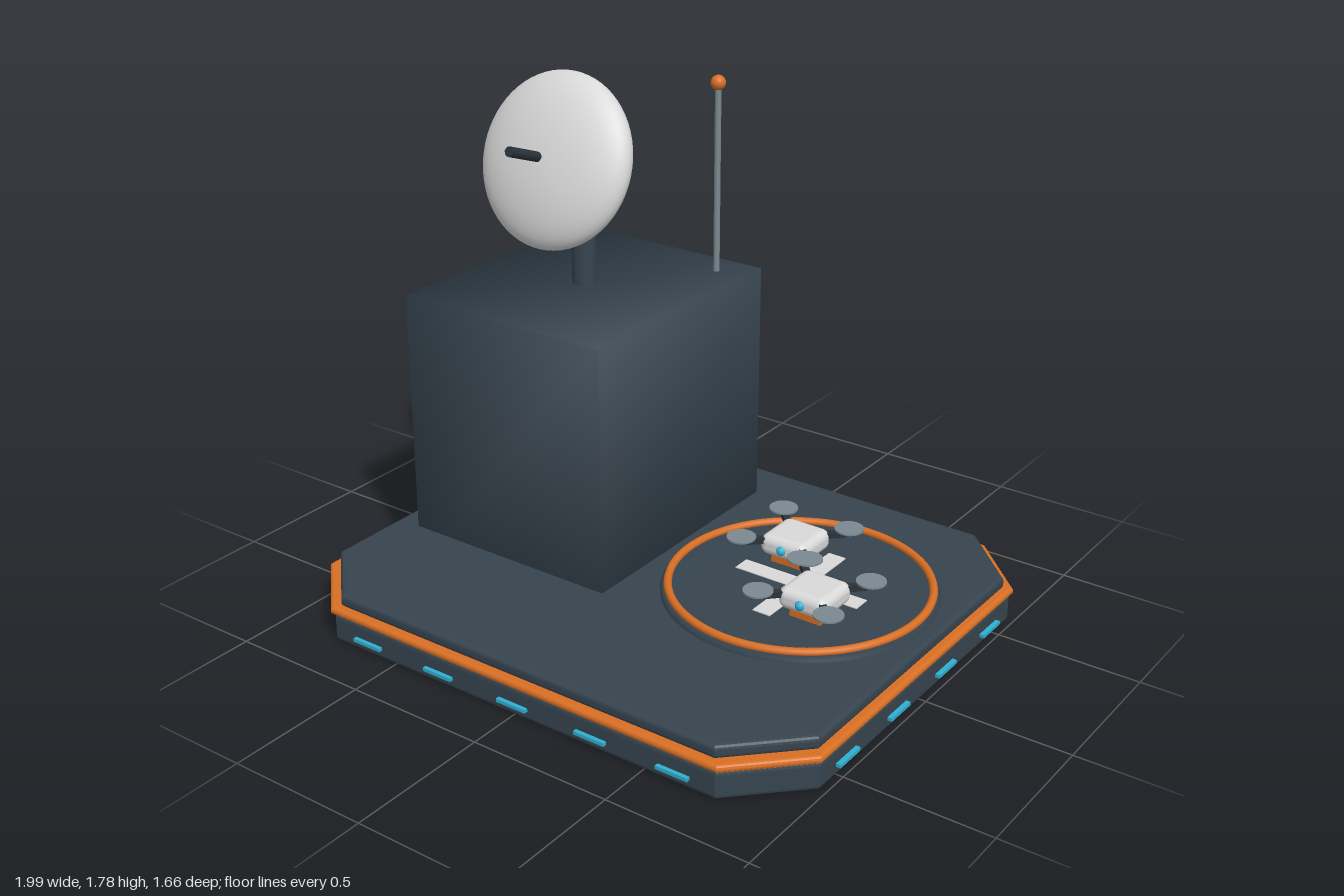
import * as THREE from 'three';
import { mergeVertices } from 'three/addons/utils/BufferGeometryUtils.js';
import { RoundedBoxGeometry } from 'three/addons/geometries/RoundedBoxGeometry.js';

const paint = (name, color) => {
  const m = new THREE.MeshStandardMaterial({ color });
  m.name = name;
  return m;
};

export function createModel() {
  const hull = paint('slate hull', 0x36444f);
  const charcoal = paint('charcoal', 0x2a333a);
  const orange = paint('orange trim', 0xd86f24);
  const white = paint('off white', 0xd9d9d9);
  const grey = paint('steel grey', 0x7c8991);
  const cyan = paint('cyan light', 0x2fb0d2);

  const model = new THREE.Group();
  model.name = 'droneStation';

  const add = (parent, name, geometry, material, x = 0, y = 0, z = 0) => {
    const mesh = new THREE.Mesh(geometry, material);
    mesh.name = name;
    mesh.position.set(x, y, z);
    parent.add(mesh);
    return mesh;
  };

  // Octagonal slab with a softened rim, from y0 to y1
  const octagonSlab = (hx, hz, cut, y0, y1, bevel) => {
    const x = hx - bevel, z = hz - bevel, c = cut - bevel * 0.6;
    const shape = new THREE.Shape([
      [x - c, -z], [x, -z + c], [x, z - c], [x - c, z],
      [-x + c, z], [-x, z - c], [-x, -z + c], [-x + c, -z],
    ].map(([a, b]) => new THREE.Vector2(a, b)));
    const geometry = new THREE.ExtrudeGeometry(shape, {
      depth: y1 - y0 - 2 * bevel, bevelEnabled: true,
      bevelSize: bevel, bevelThickness: bevel, bevelSegments: 3,
    });
    return geometry.rotateX(-Math.PI / 2).translate(0, y0 + bevel, 0);
  };

  // Platform
  add(model, 'basePlatform', octagonSlab(0.98, 0.818, 0.22, 0, 0.1, 0.015), hull);
  add(model, 'platformTrim', octagonSlab(0.99, 0.828, 0.22, 0.099, 0.126, 0.012), orange);
  add(model, 'upperDeck', octagonSlab(0.964, 0.802, 0.22, 0.124, 0.17, 0.015), hull);

  // Edge lights along all four sides
  const lights = new THREE.Group();
  lights.name = 'edgeLights';
  model.add(lights);
  for (const side of [-1, 1]) {
    for (let i = -2; i <= 2; i++) {
      add(lights, 'edgeLight', new THREE.BoxGeometry(0.115, 0.012, 0.018), cyan, i * 0.306, 0.04, side * 0.823);
    }
    for (let i = -1.5; i <= 1.5; i++) {
      add(lights, 'edgeLight', new THREE.BoxGeometry(0.018, 0.012, 0.115), cyan, side * 0.987, 0.04, i * 0.302);
    }
  }

  // Equipment building: a box with shared corners, so its shading is smooth
  let block = new THREE.BoxGeometry(0.815, 1.035, 0.92);
  block.deleteAttribute('normal');
  block.deleteAttribute('uv');
  block = mergeVertices(block);
  block.computeVertexNormals();
  add(model, 'building', block, hull, -0.4625, 0.5175, -0.168);

  // Dish on its mast
  add(model, 'dishMast', new THREE.CylinderGeometry(0.042, 0.042, 0.32, 24), hull, -0.465, 1.18, -0.16);
  const cap = [[0, -0.048], [0.066, -0.048], [0.075, -0.038], [0.075, 0.038], [0.066, 0.048], [0, 0.048]];
  add(model, 'mastHead', new THREE.LatheGeometry(cap.map(([r, y]) => new THREE.Vector2(r, y)), 24),
    grey, -0.465, 1.366, -0.16);
  const dish = new THREE.Group();
  dish.name = 'dishAssembly';
  dish.position.set(-0.465, 1.5, -0.024);
  dish.rotation.x = -0.35;
  model.add(dish);
  add(dish, 'dish', new THREE.SphereGeometry(0.295, 48, 32), white).scale.z = 0.35;
  add(dish, 'dishFeed', new THREE.CylinderGeometry(0.017, 0.017, 0.19, 12).rotateX(Math.PI / 2), charcoal, 0, 0, 0.155);

  // Whip antenna
  add(model, 'antennaRod', new THREE.CylinderGeometry(0.011, 0.011, 0.67, 12), grey, -0.167, 1.365, -0.517);
  add(model, 'antennaTip', new THREE.SphereGeometry(0.026, 20, 14), orange, -0.167, 1.7, -0.517);

  // Landing pad with ring and cross marking
  const pad = new THREE.Group();
  pad.name = 'landingPad';
  pad.position.set(0.457, 0, -0.113);
  model.add(pad);
  const disc = [[0.462, 0.165], [0.462, 0.178], [0.452, 0.19], [0, 0.19]];
  add(pad, 'padDisc', new THREE.LatheGeometry(disc.map(([r, y]) => new THREE.Vector2(r, y)), 64), hull);
  add(pad, 'padRing', new THREE.TorusGeometry(0.437, 0.014, 10, 72).rotateX(Math.PI / 2), orange, 0, 0.196, 0);
  add(pad, 'padCrossBar', new THREE.BoxGeometry(0.47, 0.004, 0.066), white, 0, 0.191, 0);
  add(pad, 'padCrossBar', new THREE.BoxGeometry(0.066, 0.0044, 0.47), white, 0, 0.191, 0);

  // Two parked quadcopters
  for (const [x, z] of [[0.35, -0.248], [0.594, 0.021]]) {
    const drone = new THREE.Group();
    drone.name = 'drone';
    drone.position.set(x, 0, z);
    model.add(drone);
    add(drone, 'droneBody', new RoundedBoxGeometry(0.18, 0.075, 0.18, 4, 0.03), white, 0, 0.258, 0);
    add(drone, 'droneFoot', new THREE.BoxGeometry(0.115, 0.035, 0.115), orange, 0, 0.2075, 0);
    add(drone, 'droneEye', new THREE.SphereGeometry(0.017, 16, 12), cyan, 0, 0.258, 0.087);
    for (const turn of [1, -1]) {
      add(drone, 'droneArm', new THREE.BoxGeometry(0.34, 0.02, 0.024), charcoal, 0, 0.273, 0)
        .rotation.y = turn * Math.PI / 4;
    }
    for (const sx of [-1, 1]) {
      for (const sz of [-1, 1]) {
        add(drone, 'rotor', new THREE.CylinderGeometry(0.05, 0.05, 0.006, 20), grey, sx * 0.131, 0.29, sz * 0.131);
      }
    }
  }
  return model;
}
